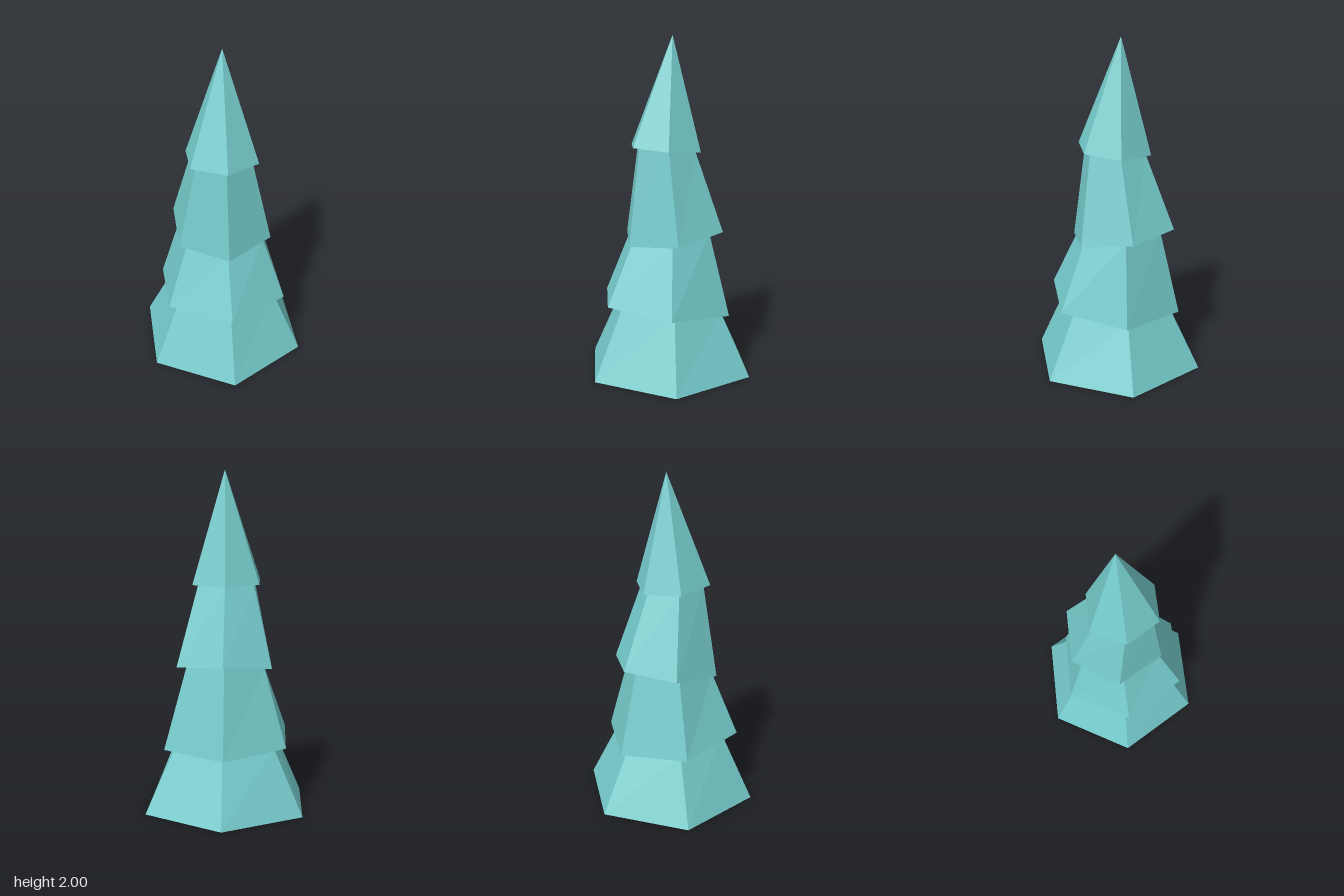
import * as THREE from 'three';

const SIDES = 6;

// Hexagon lying on a tilted plane: centre, radius, and rise of the plane per unit x and z
function hexRing({ x, y, z, r, tiltX = 0, tiltZ = 0 }) {
  return Array.from({ length: SIDES }, (_, i) => {
    const a = (i / SIDES) * Math.PI * 2;
    const dx = r * Math.sin(a), dz = r * Math.cos(a);
    return [x + dx, y + dx * tiltX + dz * tiltZ, z + dz];
  });
}

// Faceted skirt between two rings, closed underneath
function tierGeometry(bottom, top) {
  const low = hexRing(bottom), high = hexRing(top);
  const base = [bottom.x, bottom.y, bottom.z];
  const points = [];
  for (let i = 0; i < SIDES; i++) {
    const j = (i + 1) % SIDES;
    points.push(low[i], low[j], high[j]);
    if (top.r > 0) points.push(low[i], high[j], high[i]);
    points.push(base, low[j], low[i]);
  }
  const geometry = new THREE.BufferGeometry();
  geometry.setAttribute('position', new THREE.Float32BufferAttribute(points.flat(), 3));
  geometry.computeVertexNormals();
  return geometry;
}

export function createModel() {
  const tree = new THREE.Group();
  tree.name = 'pineTree';
  const foliage = new THREE.MeshStandardMaterial({ color: 0x76cccd });
  foliage.name = 'frostyTeal';
  foliage.flatShading = true;

  // Lower rim of each tier, each tipped a little its own way
  const rims = [
    { x: 0, y: 0, z: 0, r: 0.53 },
    { x: 0.015, y: 0.4, z: 0.012, r: 0.413, tiltX: 0.077, tiltZ: 0.073 },
    { x: -0.03, y: 0.838, z: -0.018, r: 0.319, tiltX: -0.136, tiltZ: -0.084 },
    { x: 0.016, y: 1.346, z: 0.014, r: 0.226, tiltX: 0.07, tiltZ: 0.05 },
  ];
  // Upper end of each tier, tucked against the rim above; the last is the tip
  const necks = [
    { ...rims[1], x: -0.003, z: -0.005, r: 0.336 },
    { ...rims[2], x: -0.003, y: 0.834, z: 0.002, r: 0.264 },
    { ...rims[3], x: 0.012, z: 0.012, r: 0.188 },
    { x: -0.017, y: 2, z: -0.015, r: 0 },
  ];
  const names = ['bottomTier', 'lowerTier', 'upperTier', 'topTier'];

  names.forEach((name, i) => {
    const tier = new THREE.Mesh(tierGeometry(rims[i], necks[i]), foliage);
    tier.name = name;
    tree.add(tier);
  });
  return tree;
}
